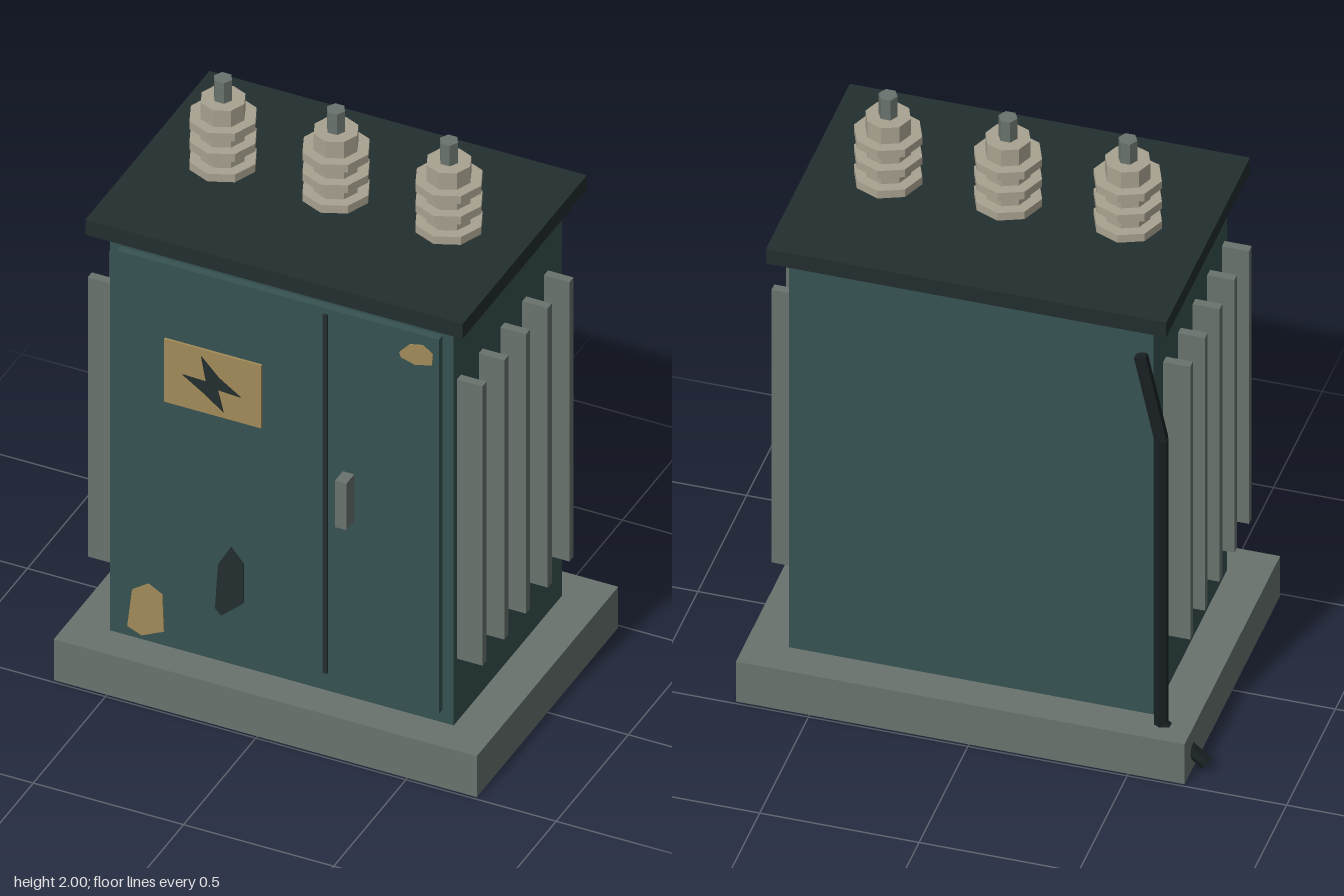
import * as THREE from 'three';

const mat = (name, color) => {
  const m = new THREE.MeshStandardMaterial({ color });
  m.name = name;
  return m;
};

export function createModel() {
  const root = new THREE.Group();
  root.name = 'transformerCabinet';
  const teal = mat('tealPaint', 0x375252);
  const dark = mat('darkPaint', 0x232e2f);
  const grey = mat('greyMetal', 0x69736d);
  const ochre = mat('ochre', 0xa28b59);
  const ceramic = mat('ceramic', 0xa8a290);
  const rubber = mat('blackRubber', 0x192122);
  const CX = 0.027; // centre line of the cabinet

  const add = (name, geo, material, x = 0, y = 0, z = 0, parent = root) => {
    const mesh = new THREE.Mesh(geo, material);
    mesh.name = name;
    mesh.position.set(x, y, z);
    parent.add(mesh);
    return mesh;
  };
  // Box given by its limits on each axis
  const box = (name, material, x0, x1, y0, y1, z0, z1) =>
    add(name, new THREE.BoxGeometry(x1 - x0, y1 - y0, z1 - z0), material,
      (x0 + x1) / 2, (y0 + y1) / 2, (z0 + z1) / 2);
  // Flat-sided prism standing on y
  const prism = (r, h, sides, turn = 0) => {
    const g = new THREE.CylinderGeometry(r, r, h, sides).rotateY(turn).toNonIndexed();
    g.computeVertexNormals();
    return g;
  };
  // Thin outlined plate on the front
  const plate = (name, material, pts, z, depth = 0.004) => {
    const shape = new THREE.Shape(pts.map(([x, y]) => new THREE.Vector2(x, y)));
    return add(name, new THREE.ExtrudeGeometry(shape, { depth, bevelEnabled: false }), material, 0, 0, z);
  };

  // Plinth, cabinet and lid
  box('plinth', grey, -0.677, 0.731, 0, 0.15, -0.49, 0.49);
  box('cabinet', teal, CX - 0.572, CX + 0.572, 0.15, 1.62, -0.375, 0.375);
  box('lid', dark, CX - 0.628, CX + 0.628, 1.62, 1.675, -0.43, 0.43);

  // Door with seam and handle
  box('door', teal, -0.508, 0.562, 0.197, 1.57, 0.37, 0.4);
  box('doorSeam', dark, 0.178, 0.192, 0.235, 1.55, 0.398, 0.407);
  box('doorHandle', grey, 0.242, 0.28, 0.82, 0.99, 0.4, 0.455);

  // Warning sign with bolt
  box('warningSign', ochre, -0.35, -0.026, 1.07, 1.3, 0.4, 0.408);
  plate('warningBolt', dark, [[-0.225, 1.275], [-0.167, 1.214], [-0.093, 1.164], [-0.17, 1.169],
    [-0.151, 1.093], [-0.22, 1.145], [-0.288, 1.19], [-0.209, 1.187]].reverse(), 0.408, 0.003);

  // Worn paint patches
  plate('upperRustPatch', ochre, [[0.431, 1.487], [0.465, 1.525], [0.51, 1.535], [0.543, 1.51],
    [0.54, 1.472], [0.485, 1.456], [0.437, 1.47]].reverse(), 0.4);
  plate('lowerRustPatch', ochre, [[-0.458, 0.344], [-0.405, 0.381], [-0.357, 0.354], [-0.352, 0.222],
    [-0.426, 0.186], [-0.474, 0.206]].reverse(), 0.4);
  plate('darkPatch', dark, [[-0.172, 0.524], [-0.13, 0.6], [-0.087, 0.55], [-0.087, 0.407],
    [-0.161, 0.339], [-0.182, 0.36]].reverse(), 0.4);

  // Cooling fins on both sides
  for (const s of [-1, 1]) {
    for (let i = 0; i < 5; i++) {
      add('coolingFin', new THREE.BoxGeometry(0.1, 1.025, 0.028), grey,
        CX + s * 0.607, 0.893, 0.338 - i * 0.1505);
    }
  }

  // Three insulators: core, three sheds and a terminal pin
  for (let i = -1; i <= 1; i++) {
    const insulator = new THREE.Group();
    insulator.name = 'insulator';
    insulator.position.set(CX + i * 0.376, 1.675, 0);
    root.add(insulator);
    add('core', prism(0.071, 0.25, 8), ceramic, 0, 0.125, 0, insulator);
    for (let k = 0; k < 3; k++) {
      add('shed', prism(0.107, 0.028, 8), ceramic, 0, 0.026 + k * 0.075, 0, insulator);
    }
    add('terminalPin', prism(0.03, 0.085, 6, Math.PI / 6), grey, 0, 0.2825, 0, insulator);
  }

  // Cable running down the back corner and out through the plinth
  const path = [[-0.51, 1.505, -0.393], [-0.58, 1.22, -0.411], [-0.58, 0.15, -0.411], [-0.72, 0.03, -0.407]]
    .map((p) => new THREE.Vector3(...p));
  for (let i = 0; i < 3; i++) {
    const dir = path[i].clone().sub(path[i + 1]);
    const mid = path[i].clone().add(path[i + 1]).multiplyScalar(0.5);
    const cable = add('cable', prism(0.022, dir.length(), 6), rubber, mid.x, mid.y, mid.z);
    cable.quaternion.setFromUnitVectors(new THREE.Vector3(0, 1, 0), dir.normalize());
  }
  return root;
}
